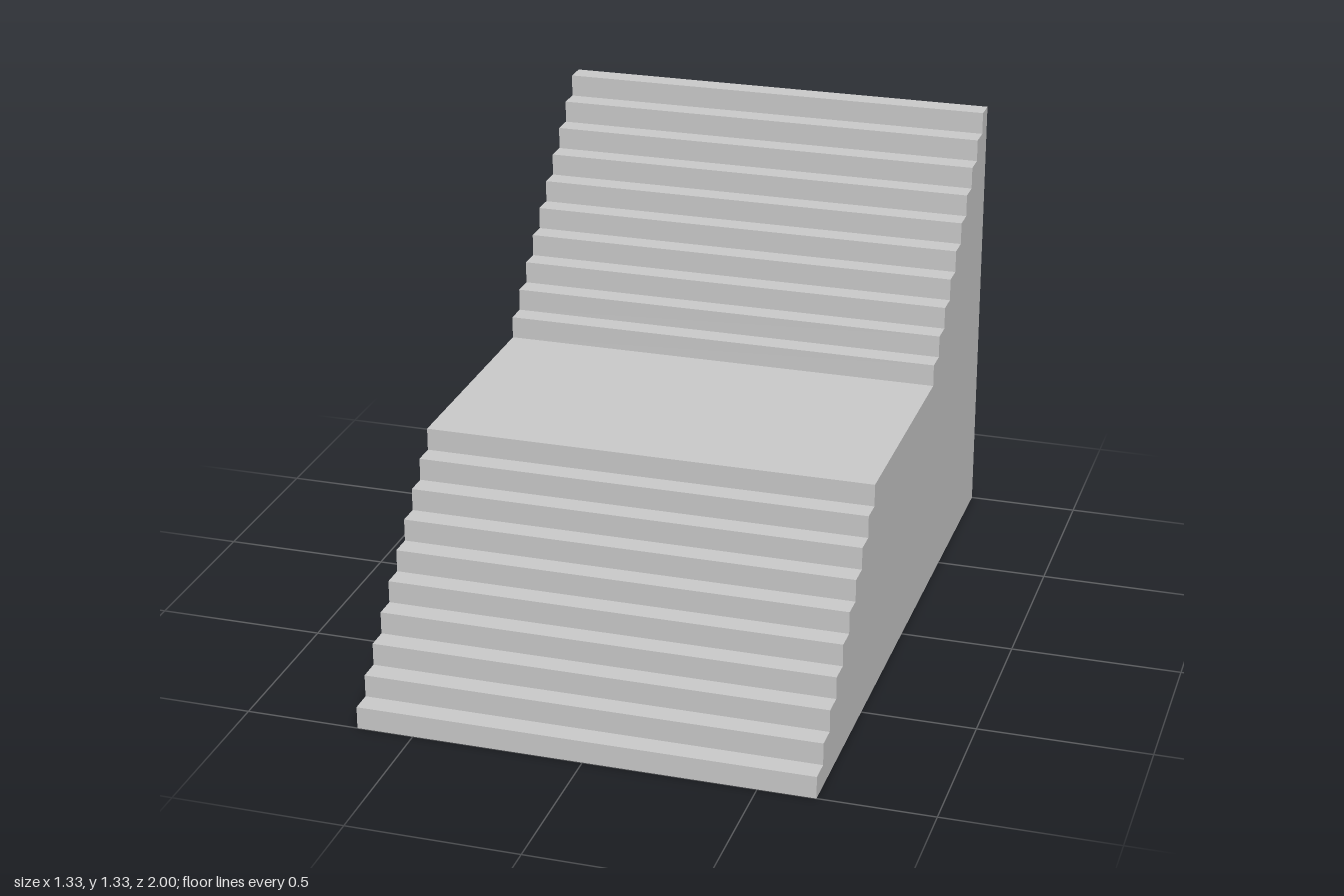
import * as THREE from 'three';

const STEP = 1 / 15;      // riser height and tread depth
const RISERS = 20;        // two flights of ten
const LANDING_RISER = 10; // the tread above this riser is the landing
const LANDING = 11 * STEP;
const WIDTH = 4 / 3;

export function createModel() {
  const group = new THREE.Group();
  group.name = 'staircase';

  // Side profile, running from the foot of the stairs to the back wall
  const profile = new THREE.Shape();
  let run = -1;
  profile.moveTo(run, 0);
  for (let i = 1; i <= RISERS; i++) {
    profile.lineTo(run, i * STEP);
    run += i === LANDING_RISER ? LANDING : STEP;
    profile.lineTo(run, i * STEP);
  }
  profile.lineTo(run, 0);
  profile.closePath();

  // Solid block extruded across the width, turned so the foot faces +z
  const geometry = new THREE.ExtrudeGeometry(profile, { depth: WIDTH, bevelEnabled: false });
  geometry.translate(0, 0, -WIDTH / 2);
  geometry.rotateY(Math.PI / 2);

  const stairs = new THREE.Mesh(geometry, new THREE.MeshStandardMaterial({ color: 0xcccccc, flatShading: true }));
  stairs.name = 'stairsWithLanding';
  group.add(stairs);
  return group;
}
